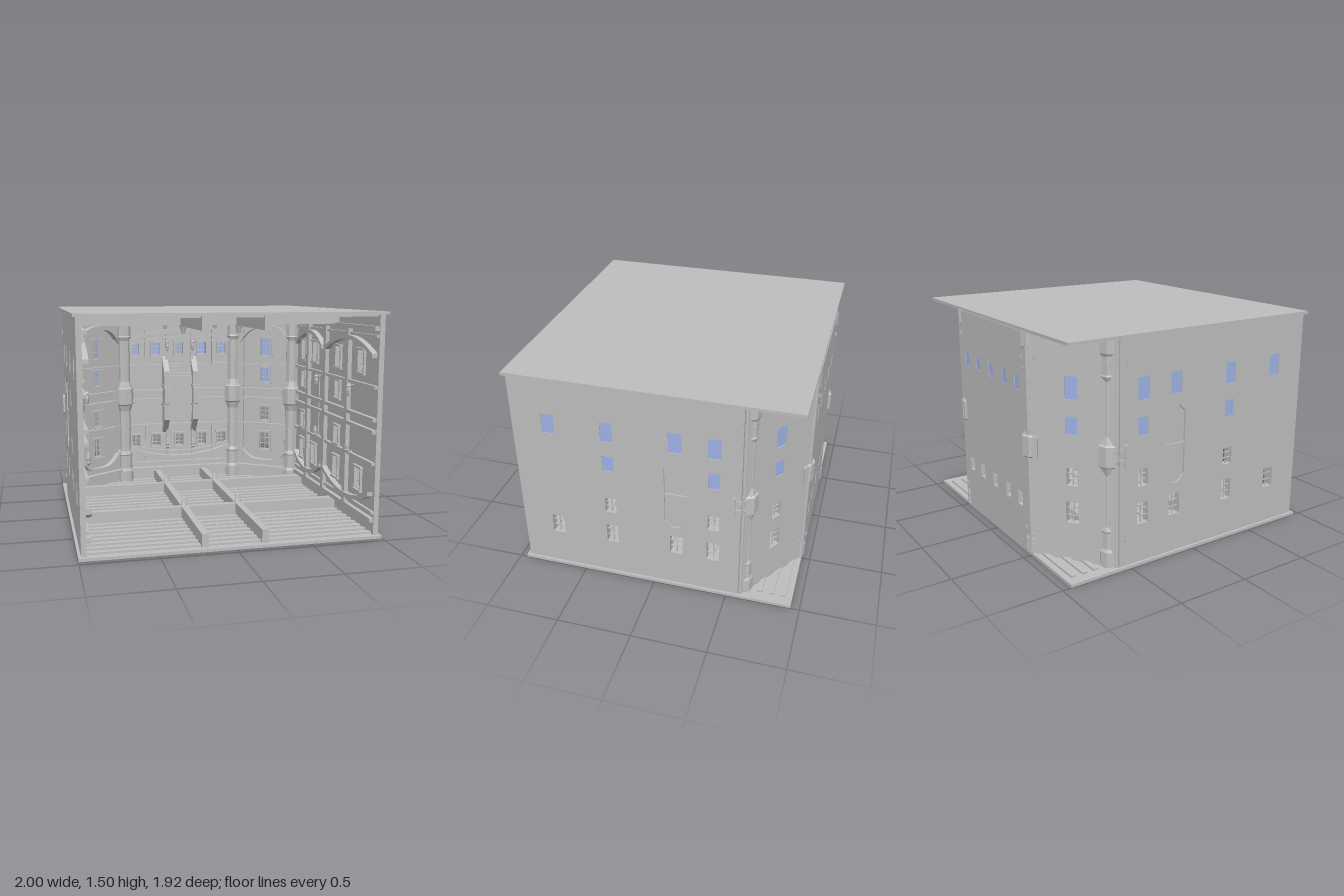
import * as THREE from 'three';

const stone = new THREE.MeshStandardMaterial({ color: 0xbebebe });
stone.name = 'stone grey';
stone.flatShading = true;
const glass = new THREE.MeshStandardMaterial({ color: 0x9db2e6 });
glass.name = 'window blue';

const H = 1.5, MID = 0.755, T = 0.035;
const flip = y => 2 * MID - y;

function add(parent, name, geo, x = 0, y = 0, z = 0, mat = stone) {
  const m = new THREE.Mesh(geo, mat);
  m.name = name;
  m.position.set(x, y, z);
  parent.add(m);
  return m;
}
const box = (p, name, w, h, d, x, y, z, mat) =>
  add(p, name, new THREE.BoxGeometry(w, h, d), x, y, z, mat);
const extrude = (shape, depth) =>
  new THREE.ExtrudeGeometry(shape, { depth, bevelEnabled: false });
const poly = pts => pts.map(p => new THREE.Vector2(p[0], p[1]));

// Rectangle with four cut corners, as a point list
function octagon(x, y, w, h, c) {
  const a = w / 2, b = h / 2;
  return poly([[x - a + c, y - b], [x + a - c, y - b], [x + a, y - b + c], [x + a, y + b - c],
    [x + a - c, y + b], [x - a + c, y + b], [x - a, y + b - c], [x - a, y - b + c]]);
}

// Curved rib: low at both ends, highest in the middle, plus its mirror below
function arches(g, u, width, yEnd, rise, band, depth, power = 2) {
  for (const m of [false, true]) {
    const top = [], low = [];
    for (let i = 0; i <= 20; i++) {
      const t = i / 10 - 1;
      const y = yEnd + rise * (1 - Math.abs(t) ** power);
      top.push([u + t * width / 2, m ? flip(y + band) : y + band]);
      low.unshift([u + t * width / 2, m ? flip(y) : y]);
    }
    add(g, 'archRib', extrude(new THREE.Shape(poly([...top, ...low])), depth));
  }
}

// Horizontal mouldings at a height and its mirror
function ledges(g, u, width, y, h, d) {
  for (const v of [y, flip(y)]) box(g, 'ledge', width, h, d, u, v, d / 2);
}

// Wall panel: inner face at local z = 0 looking along +z, windows [u, y, w, h] repeated above the middle
function panel(root, name, pos, angle, width, windows, niche) {
  const g = new THREE.Group();
  g.name = name;
  g.rotation.y = angle;
  g.position.set(pos[0] + Math.sin(angle) * T, 0, pos[1] + Math.cos(angle) * T);
  root.add(g);
  const a = width / 2;
  const shape = new THREE.Shape(poly([[-a, 0.02], [a, 0.02], [a, H - 0.02], [-a, H - 0.02]]));
  for (const [u, y0, w, h] of windows) for (const y of [y0, flip(y0)]) {
    shape.holes.push(new THREE.Path(poly([[u - w / 2, y - h / 2], [u - w / 2, y + h / 2],
      [u + w / 2, y + h / 2], [u + w / 2, y - h / 2]])));
    // Inner surround, sill, lintel and glazing bars
    for (const s of [-1, 1]) {
      box(g, 'windowJamb', 0.014, h + 0.028, 0.016, u + s * (w / 2 + 0.007), y, 0.008);
      box(g, 'windowSill', w + 0.045, 0.014, 0.024, u, y + s * (h / 2 + 0.012), 0.012);
      box(g, 'glazingBar', w, 0.005, 0.008, u, y + s * h / 6, -0.014);
    }
    box(g, 'glazingBar', 0.006, h, 0.008, u, y, -0.014);
    if (y > MID) box(g, 'windowPane', w, h, 0.004, u, y, -T + 0.007, glass);
  }
  if (niche !== undefined) {
    shape.holes.push(new THREE.Path(octagon(niche, MID, 0.15, 0.515, 0.048)));
    box(g, 'nicheBack', 0.17, 0.535, 0.03, niche, MID, -0.008);
    box(g, 'nicheBar', 0.15, 0.016, 0.02, niche, MID, -T + 0.011);
  }
  add(g, 'wall', extrude(shape, T), 0, 0, -T);
  return g;
}

// Outer clasp plate and pegs beside a wall seam
function clasp(g, u, dir) {
  add(g, 'claspBar', extrude(new THREE.Shape(octagon(u, MID, 0.034, 0.15, 0.012)), 0.016), 0, 0, -T - 0.015);
  for (const y of [MID - 0.035, MID + 0.035])
    box(g, 'claspStrap', 0.06, 0.03, 0.01, u + dir * 0.025, y, -T - 0.004);
  for (const y of [0.19, flip(0.19)]) box(g, 'peg', 0.012, 0.022, 0.012, u, y, -T - 0.004);
}

// Small lantern, s = 1 upright, -1 upside down
function lantern(parent, x, y, z, s) {
  const pts = poly([[0, -0.04], [0.01, -0.03], [0.016, 0], [0.012, 0.025], [0.02, 0.03], [0.004, 0.045], [0, 0.06]]);
  const m = add(parent, 'lantern', new THREE.LatheGeometry(pts, 6), x, y, z);
  if (s < 0) m.rotation.z = Math.PI;
  box(parent, 'lanternArm', 0.008, 0.008, 0.04, x, y + s * 0.04, z - 0.02);
}

// Eight-sided column, the same above and below the middle band
function column(root, x, z, turn, r) {
  const half = [[r * 1.35, 0.02], [r * 1.35, 0.12], [r * 1.15, 0.14], [r * 1.15, 0.25], [r * 1.25, 0.26],
    [r, 0.29], [r, 0.63], [r * 1.3, 0.68], [r * 1.55, 0.69]];
  const pts = [...half, ...half.slice().reverse().map(([q, y]) => [q, flip(y)])];
  const c = add(root, 'column', new THREE.LatheGeometry(poly(pts), 8), x, 0, z);
  c.rotation.y = turn + Math.PI / 8;
  const studs = new THREE.Group();
  studs.name = 'columnStuds';
  studs.position.set(x, 0, z);
  studs.rotation.y = turn;
  root.add(studs);
  for (let i = 0; i < 12; i++) for (const y of [0.32 + i * 0.025, flip(0.32 + i * 0.025)])
    box(studs, 'stud', 0.008, 0.008, 0.008, (i % 2 ? 1 : -1) * 0.01, y, r * 0.93);
}

export function createModel() {
  const root = new THREE.Group();
  root.name = 'hall';

  // Floor and ceiling, joists, beams and pendants
  for (const top of [false, true]) {
    const Y = y => (top ? H - y : y);
    box(root, top ? 'ceilingSlab' : 'floorSlab', 2, 0.02, 1.893, 0, Y(0.01), 0.0065);
    for (let i = 0; i < 23; i++)
      box(root, 'joist', i < 4 ? 1.86 : 1.92, 0.014, 0.035, 0, Y(0.026), -0.88 + i * 0.08);
    for (const x of [-0.2, 0.2]) box(root, 'longBeam', 0.045, 0.09, 1.83, x, Y(0.065), 0.005);
    for (const z of [0.25, -0.45]) {
      box(root, 'crossBeam', 1.9, 0.085, 0.045, 0, Y(0.0625), z);
      for (const x of [-0.2, 0.2]) {
        const p = add(root, 'pendant', new THREE.CylinderGeometry(0.01, 0.028, 0.06, 8), x, Y(0.135), z);
        if (top) p.rotation.x = Math.PI;
      }
    }
  }

  // Back wall
  const back = panel(root, 'backWall', [0, -0.945], 0, 1.0,
    [-0.375, -0.2, 0, 0.2, 0.375].map(u => [u, 0.363, 0.064, 0.095]));
  arches(back, 0, 0.86, 1.2, 0.08, 0.03, 0.05);
  arches(back, 0, 0.86, 1.17, 0.07, 0.012, 0.03);
  ledges(back, 0, 0.96, 0.5, 0.014, 0.03);
  ledges(back, 0, 0.96, 0.715, 0.02, 0.035);
  ledges(back, 0, 0.96, 0.17, 0.02, 0.03);
  ledges(back, 0, 0.96, 0.12, 0.03, 0.045);
  for (const u of [-0.29, -0.11, 0.11, 0.29]) for (const y of [0.36, flip(0.36)])
    box(back, 'wallRib', 0.014, 0.3, 0.02, u, y, 0.01);

  // Central chimney piece: side piers with sloping ends and stepped bands
  const pier = new THREE.Shape(poly([[0, 0.43], [0.1, 0.55], [0.1, 0.68], [0.12, 0.69],
    [0.12, 0.82], [0.1, 0.83], [0.1, 0.96], [0, 1.08]]));
  for (const s of [-1, 1]) {
    const m = add(back, 'chimneyPier', extrude(pier, 0.045), s * 0.123 + 0.0225, 0, 0);
    m.rotation.y = -Math.PI / 2;
    m.position.x = s * 0.123 + 0.0225;
    box(back, 'pierBand', 0.06, 0.02, 0.125, s * 0.123, MID - 0.08, 0.0625);
    box(back, 'pierBand', 0.06, 0.02, 0.125, s * 0.123, MID + 0.08, 0.0625);
    lantern(back, s * 0.11, 0.34, 0.05, -1);
    lantern(back, s * 0.11, flip(0.34), 0.05, 1);
  }
  box(back, 'chimneyPanel', 0.21, 0.28, 0.06, 0, MID, 0.03);
  for (let i = 0; i < 4; i++) ledges(back, 0, 0.21, 0.605 - i * 0.025, 0.022, 0.055 - i * 0.012);

  for (const s of [-1, 1]) {
    // Angled corner wall
    const corner = panel(root, 'cornerWall', [s * 0.738, -0.77], -s * 0.619, 0.585,
      [[0, 0.35, 0.085, 0.142], [0, 0.588, 0.075, 0.115]]);
    arches(corner, 0, 0.42, 1.2, 0.12, 0.025, 0.05, 3);
    for (const [y, h, d] of [[0.5, 0.014, 0.03], [0.715, 0.025, 0.035], [0.12, 0.03, 0.045]])
      ledges(corner, 0, 0.54, y, h, d);
    for (const u of [-0.2, 0.2]) box(corner, 'wallRib', 0.02, 1.1, 0.025, u, MID, 0.0125);

    // Side wall
    const side = panel(root, 'sideWall', [s * 0.982, 0.175], -s * Math.PI / 2, 1.51,
      [[0.505, 0.35, 0.085, 0.142], [0.115, 0.35, 0.08, 0.142], [-0.33, 0.35, 0.085, 0.142],
        [-0.58, 0.35, 0.085, 0.142], [0.115, 0.588, 0.075, 0.115], [-0.58, 0.588, 0.075, 0.115]]
        .map(([u, ...r]) => [s * u, ...r]), s * -0.33);
    arches(side, s * 0.33, 0.8, 1.2, 0.1, 0.03, 0.04);
    arches(side, s * -0.42, 0.56, 1.2, 0.1, 0.03, 0.04);
    for (const [y, h, d] of [[0.5, 0.02, 0.025], [0.715, 0.025, 0.03], [0.17, 0.02, 0.02], [0.12, 0.03, 0.03]])
      ledges(side, 0, 1.5, y, h, d);
    for (const u of [-0.1, -0.455, 0.31]) box(side, 'pilaster', 0.045, 1.3, 0.03, s * u, MID, 0.015);
    for (const u of [-0.2, 0.4]) {
      lantern(side, s * u, 0.56, 0.05, -1);
      lantern(side, s * u, flip(0.56), 0.05, 1);
    }

    // Columns and seam posts at the wall joints
    column(root, s * 0.47, -0.89, -s * 0.31, 0.048);
    column(root, s * 0.9, -0.6, -s * 1.1, 0.048);
    for (const [x, z] of [[0.5, -0.932], [0.969, -0.592]])
      add(root, 'seamPost', new THREE.CylinderGeometry(0.013, 0.013, H - 0.04, 8), s * x, H / 2, z);

    // Clasps across the outer seams
    clasp(side, -s * 0.705, -s);
    clasp(corner, s * 0.245, s);
    clasp(corner, -s * 0.245, -s);
    clasp(back, s * 0.455, s);
  }
  return root;
}
